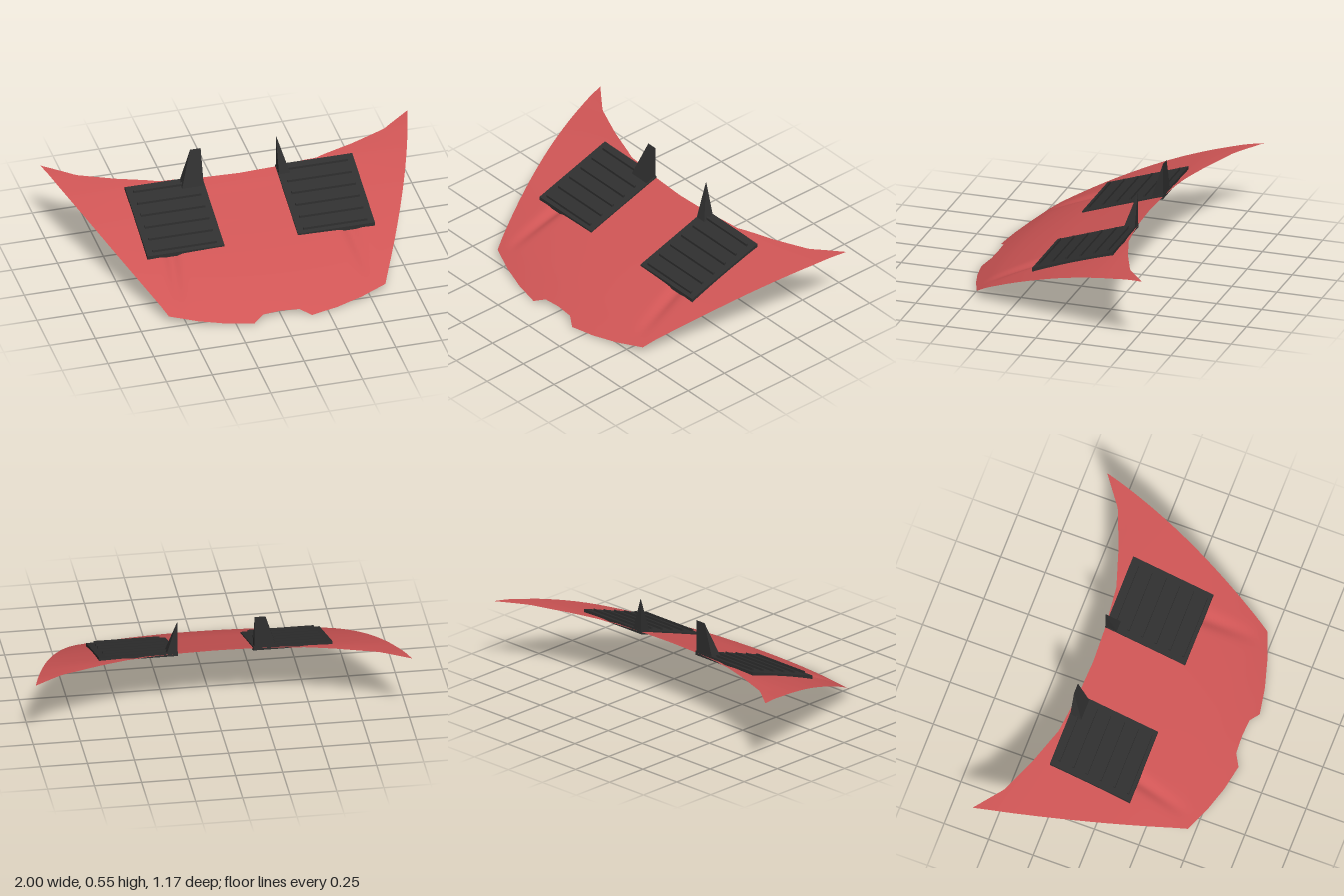
import * as THREE from 'three';
import { ConvexGeometry } from 'three/addons/geometries/ConvexGeometry.js';

const red = new THREE.MeshStandardMaterial({ color: 0xcf5555, side: THREE.DoubleSide });
red.name = 'red paint';
const black = new THREE.MeshStandardMaterial({ color: 0x2f2f2f });
black.name = 'black plastic';

// Smooth curve through [position, value] points, read as a function
function curve(points) {
  const slope = (i) => {
    const a = points[Math.max(0, i - 1)], b = points[Math.min(points.length - 1, i + 1)];
    return (b[1] - a[1]) / (b[0] - a[0]);
  };
  return (p) => {
    let i = 0;
    while (i < points.length - 2 && p > points[i + 1][0]) i++;
    const [p0, y0] = points[i], [p1, y1] = points[i + 1];
    const d = p1 - p0, t = (p - p0) / d, s = 1 - t;
    return y0 * (1 + 2 * t) * s * s + y1 * (3 - 2 * t) * t * t
      + d * t * s * (slope(i) * s - slope(i + 1) * t);
  };
}

function polyline(points) {
  return (p) => {
    let i = 0;
    while (i < points.length - 2 && p > points[i + 1][0]) i++;
    const [p0, y0] = points[i], [p1, y1] = points[i + 1];
    return y0 + (y1 - y0) * (p - p0) / (p1 - p0);
  };
}

// Panel heights along the centre line and along the side edge, by z
const centreHeight = curve([[-0.6, 0.4], [-0.4, 0.389], [-0.3, 0.371], [-0.15, 0.322],
  [0, 0.272], [0.2, 0.202], [0.4, 0.113], [0.545, 0.03], [0.6, -0.007]]);
const edgeHeight = curve([[-0.6, 0.4], [-0.5, 0.39], [-0.4, 0.371], [-0.3, 0.35],
  [-0.15, 0.31], [0, 0.26], [0.2, 0.18], [0.4, 0.085], [0.465, 0.045], [0.6, -0.04]]);

// Plan outline: rear and front edges by |u|, and the bowed sides
const rearZ = polyline([[0, -0.29], [0.2, -0.298], [0.43, -0.323], [0.64, -0.39], [0.84, -0.47], [1, -0.59]]);
const frontZ = polyline([[0, 0.545], [1 / 6, 0.55], [16 / 60, 0.585], [0.51, 0.56], [0.75, 0.52], [1, 0.465]]);
const halfWidth = (v) => 1 - 0.41 * v + 0.148 * v * (1 - v);

function panelHeight(x, z) {
  const t = Math.abs(x) / halfWidth((z + 0.59) / 1.055);
  const base = centreHeight(z) + (edgeHeight(z) - centreHeight(z)) * t * t;
  // shallow crease on each side
  const off = (Math.abs(x) - 0.468 - 0.13 * z) / 0.035;
  const fade = Math.max(0, 1 - ((z - 0.05) / 0.4) ** 2);
  return base - 0.022 * fade * Math.exp(-off * off);
}

function panelGeometry() {
  const cols = 120, rows = 40, pos = [], index = [];
  for (let j = 0; j <= rows; j++) {
    const v = j / rows;
    for (let i = 0; i <= cols; i++) {
      const u = (i / cols) * 2 - 1, a = Math.abs(u);
      const x = u * halfWidth(v);
      const z = rearZ(a) + (frontZ(a) - rearZ(a)) * v;
      pos.push(x, panelHeight(x, z), z);
      if (i < cols && j < rows) {
        const k = j * (cols + 1) + i, n = k + cols + 1;
        index.push(k, n, k + 1, k + 1, n, n + 1);
      }
    }
  }
  const g = new THREE.BufferGeometry();
  g.setAttribute('position', new THREE.Float32BufferAttribute(pos, 3));
  g.setIndex(index);
  g.computeVertexNormals();
  return g;
}

// Box slanted to follow the rise of the panel
function slantedBox(width, height, depth, x, y, z) {
  const g = new THREE.BoxGeometry(width, height, depth).translate(x, y, z);
  const p = g.attributes.position;
  for (let i = 0; i < p.count; i++) p.setY(i, p.getY(i) + 0.2785 - 0.338 * p.getZ(i));
  g.computeVertexNormals();
  return g;
}

export function createModel() {
  const model = new THREE.Group();
  model.name = 'ventedHood';
  const add = (parent, name, geometry, material) => {
    const mesh = new THREE.Mesh(geometry, material);
    mesh.name = name;
    parent.add(mesh);
  };

  add(model, 'hoodPanel', panelGeometry(), red);

  // Louvred vents, one on each side
  for (const [side, name] of [[1, 'leftVent'], [-1, 'rightVent']]) {
    const vent = new THREE.Group();
    vent.name = name;
    add(vent, 'ventPlate', slantedBox(0.42, 0.023, 0.45, side * 0.41, -0.0115, -0.075), black);
    for (let i = 0; i < 6; i++) {
      add(vent, 'louvre', slantedBox(0.35, 0.02, 0.011, side * 0.41, 0.003, 0.125 - i * 0.077), black);
    }
    model.add(vent);
  }

  // Upright fins at the rear inner corner of each vent: [name, base x range, top x range]
  const fins = [['leftFin', 0.203, 0.263, 0.203, 0.206], ['rightFin', -0.325, -0.207, -0.265, -0.207]];
  for (const [name, x0, x1, t0, t1] of fins) {
    const points = [];
    for (const x of [x0, x1]) {
      for (const z of [-0.298, -0.235]) points.push(new THREE.Vector3(x, 0.36, z));
    }
    for (const x of [t0, t1]) points.push(new THREE.Vector3(x, 0.555, -0.298));
    add(model, name, new ConvexGeometry(points), black);
  }

  return model;
}
